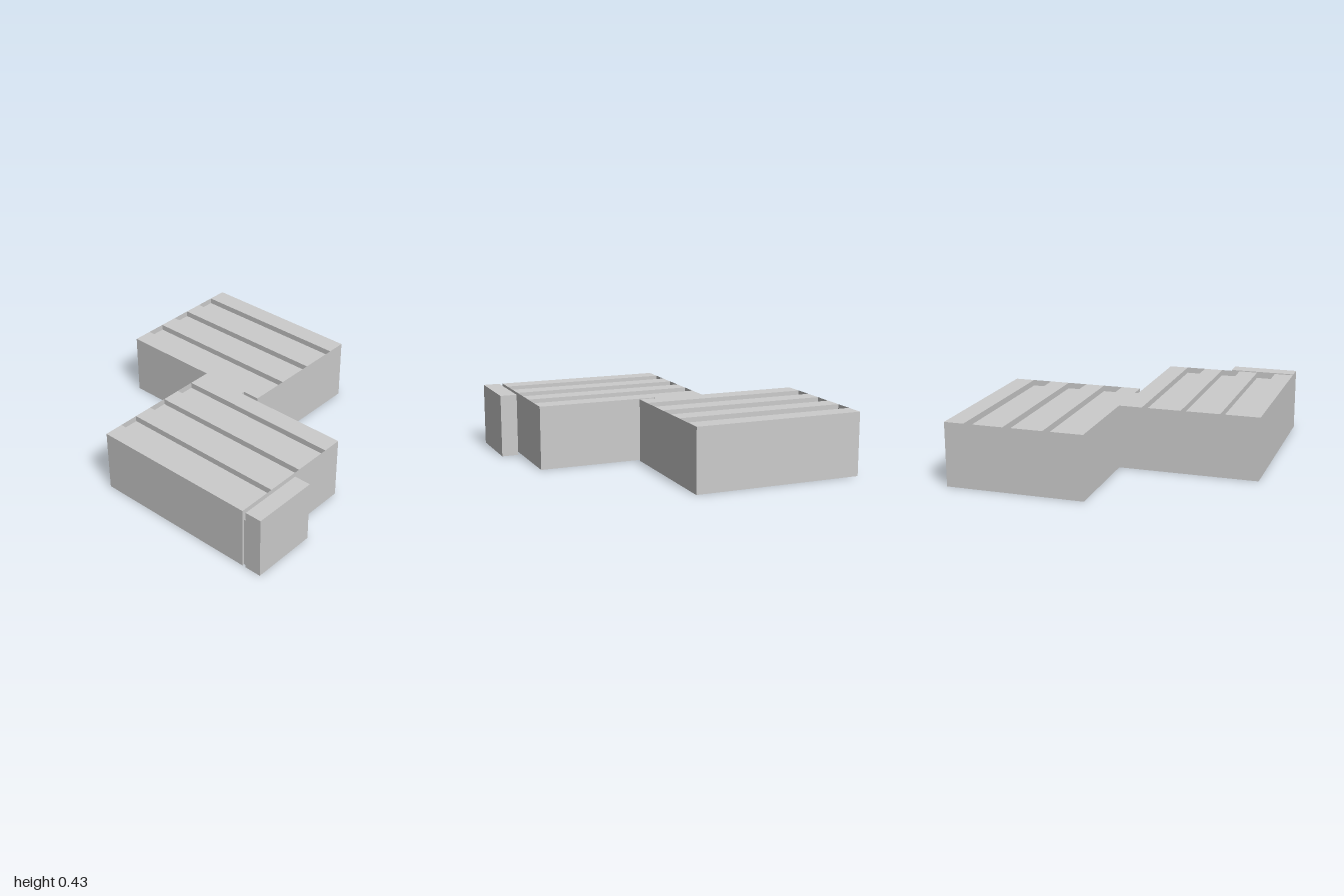
import * as THREE from 'three';

const HEIGHT = 0.43;
const GROOVE = 0.04;
const STRIPS = 7;

const material = new THREE.MeshStandardMaterial({ color: 0xcccccc, flatShading: true });
const thinMaterial = new THREE.MeshStandardMaterial({ color: 0xcccccc, flatShading: true, side: THREE.DoubleSide });

// Plain block given by its extents, standing on the ground
function block(name, x0, x1, z0, z1, height) {
  const mesh = new THREE.Mesh(new THREE.BoxGeometry(x1 - x0, height, z1 - z0), material);
  mesh.position.set((x0 + x1) / 2, height / 2, (z0 + z1) / 2);
  mesh.name = name;
  return mesh;
}

// Hall whose roof has every second strip sunk, closed by thin parapets at both ends
function hall(name, x0, x1, z0, z1) {
  const group = new THREE.Group();
  group.name = name;
  const step = (x1 - x0) / STRIPS;

  // Cross-section: flat base, roof line stepping up and down
  const profile = new THREE.Shape();
  profile.moveTo(x0, 0);
  profile.lineTo(x1, 0);
  for (let i = STRIPS - 1; i >= 0; i--) {
    const y = i % 2 ? HEIGHT - GROOVE : HEIGHT;
    profile.lineTo(x0 + (i + 1) * step, y);
    profile.lineTo(x0 + i * step, y);
  }
  profile.closePath();
  const body = new THREE.Mesh(
    new THREE.ExtrudeGeometry(profile, { depth: z1 - z0, bevelEnabled: false }), material);
  body.position.z = z0;
  body.name = name + 'Body';
  group.add(body);

  // Parapets across the ends of the sunken strips
  for (let i = 1; i < STRIPS; i += 2) {
    for (const z of [z0, z1]) {
      const parapet = new THREE.Mesh(new THREE.PlaneGeometry(step, GROOVE), thinMaterial);
      parapet.position.set(x0 + (i + 0.5) * step, HEIGHT - GROOVE / 2, z);
      parapet.name = 'roofParapet';
      group.add(parapet);
    }
  }
  return group;
}

export function createModel() {
  const model = new THREE.Group();
  model.name = 'factoryBuilding';
  model.add(
    hall('leftHall', 0.01, 0.94, -1, 0.16),
    hall('rightHall', -0.94, -0.015, -0.305, 0.86),
    // Link between the two halls
    block('hallLink', -0.015, 0.01, -0.305, 0.04, HEIGHT),
    // Front annex and its low passage
    block('annexPassage', -0.925, -0.69, 0.86, 0.885, 0.355),
    block('annex', -0.94, -0.48, 0.885, 1, HEIGHT)
  );
  return model;
}
